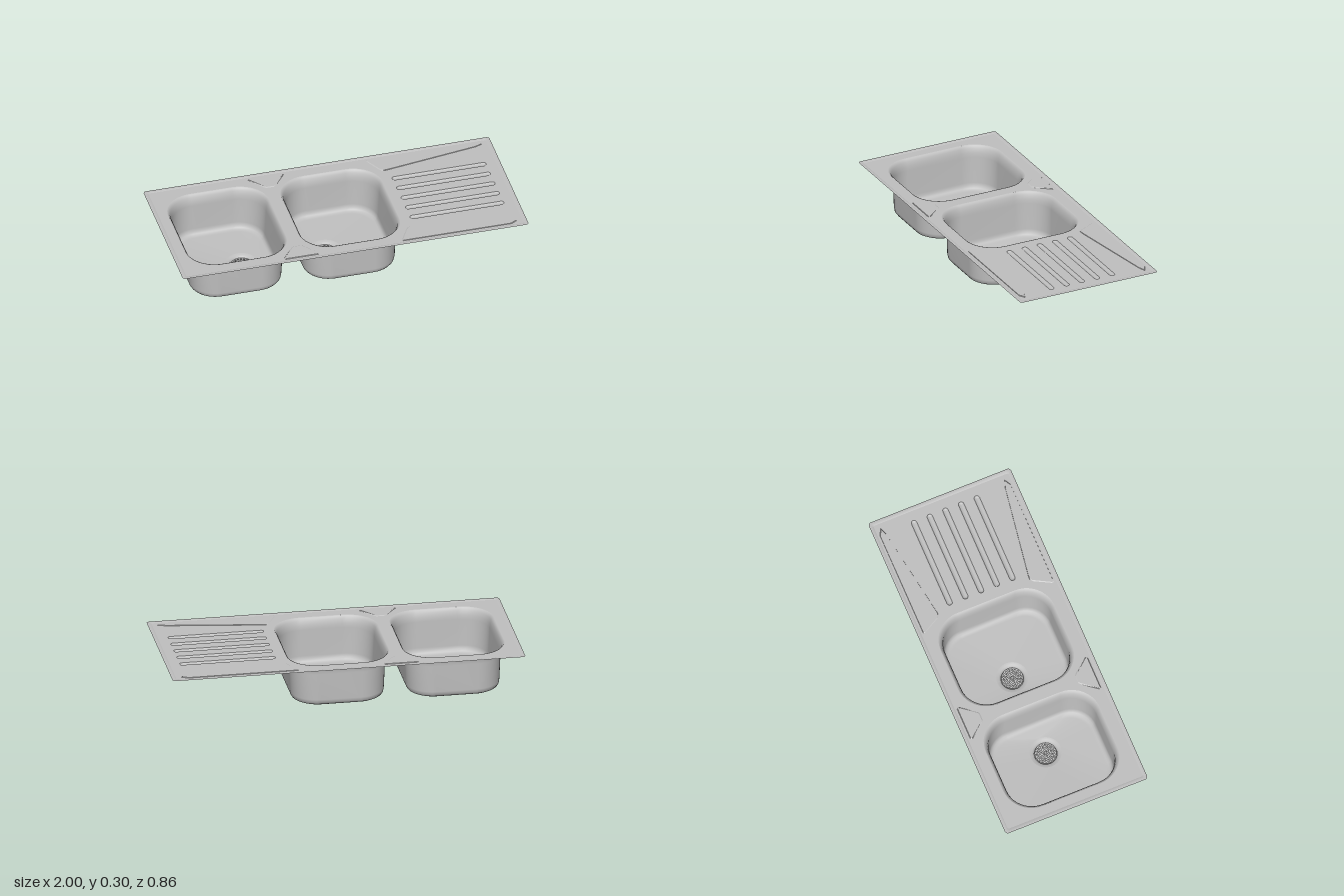
import * as THREE from 'three';

const steel = new THREE.MeshStandardMaterial({ name: 'stainless steel', color: 0xc0c0c0, side: THREE.DoubleSide });
const DECK = 0.297, TOP = 0.3;

// Rounded rectangle loop, counter-clockwise seen from above
function ring(cx, cz, hw, hd, r, y, steps = 10) {
  const pts = [], sx = [1, -1, -1, 1], sz = [1, 1, -1, -1];
  for (let k = 0; k < 4; k++) {
    for (let i = 0; i <= steps; i++) {
      const a = (k + i / steps) * Math.PI / 2;
      pts.push(new THREE.Vector3(
        cx + sx[k] * (hw - r) + r * Math.cos(a), y, cz - sz[k] * (hd - r) - r * Math.sin(a)));
    }
  }
  return pts;
}

// Skin joining loops of equal length, from the outside inwards
function loft(rings) {
  const n = rings[0].length, index = [];
  for (let j = 0; j < rings.length - 1; j++) {
    for (let i = 0; i < n; i++) {
      const a = j * n + i, b = j * n + (i + 1) % n;
      index.push(a, b, b + n, a, b + n, a + n);
    }
  }
  const geo = new THREE.BufferGeometry().setFromPoints(rings.flat());
  geo.setIndex(index);
  geo.computeVertexNormals();
  return geo;
}

const flat = (pts) => pts.map((p) => new THREE.Vector2(p.x, -p.z));

function sheet(pts, holes, y) {
  const shape = new THREE.Shape(flat(pts));
  shape.holes = holes.map((h) => new THREE.Path(flat(h)));
  return new THREE.ShapeGeometry(shape).rotateX(-Math.PI / 2).translate(0, y, 0);
}

export function createModel() {
  const model = new THREE.Group();
  const holes = [];
  const add = (name, geo, parent = model) => {
    const mesh = new THREE.Mesh(geo, steel);
    mesh.name = name;
    parent.add(mesh);
    return mesh;
  };

  // Bowls: half width, half depth, corner radius, height
  const profile = [
    [0.293, 0.345, 0.17, DECK], [0.286, 0.338, 0.165, 0.294], [0.278, 0.329, 0.16, 0.28],
    [0.273, 0.322, 0.155, 0.255], [0.271, 0.32, 0.153, 0.23], [0.264, 0.317, 0.15, 0.075],
    [0.261, 0.313, 0.147, 0.056], [0.254, 0.305, 0.142, 0.045], [0.244, 0.295, 0.135, 0.039],
    [0.228, 0.28, 0.125, 0.037],
  ];
  // Drain: radius, height
  const drainProfile = [[0.09, 0.027], [0.075, 0.024], [0.067, 0.018], [0.064, 0.01], [0.064, 0]];

  for (const [name, cx, dx] of [['rightBowl', -0.63, -0.545], ['leftBowl', 0.025, -0.062]]) {
    const bowl = new THREE.Group();
    bowl.name = name;
    model.add(bowl);
    const rings = profile.map(([w, d, r, y]) => ring(cx, 0, w, d, r, y));
    holes.push(rings[0]);
    const drain = drainProfile.map(([r, y]) => ring(dx, 0, r, r, r, y));
    add('basin', loft([...rings, drain[0]]), bowl);
    add('drainCup', loft(drain), bowl);
    add('drainBase', new THREE.CircleGeometry(0.064, 40).rotateX(-Math.PI / 2).translate(dx, 0, 0), bowl);

    // Perforated strainer with a centre screw
    const disc = new THREE.Shape().absarc(0, 0, 0.062, 0, Math.PI * 2);
    for (const [count, radius] of [[6, 0.018], [12, 0.034], [18, 0.049]]) {
      for (let i = 0; i < count; i++) {
        const a = i / count * Math.PI * 2;
        disc.holes.push(new THREE.Path().absarc(
          radius * Math.cos(a), radius * Math.sin(a), 0.005, 0, Math.PI * 2, true));
      }
    }
    const strainer = new THREE.ExtrudeGeometry(disc, { depth: 0.003, bevelEnabled: false, curveSegments: 8 });
    add('strainer', strainer.rotateX(-Math.PI / 2).translate(dx, 0.011, 0), bowl);
    add('strainerScrew', new THREE.CylinderGeometry(0.007, 0.009, 0.004, 16).translate(dx, 0.016, 0), bowl);
  }

  // Sunken drainer grooves
  for (let i = -2; i <= 2; i++) {
    const z = i * 0.095, cx = 0.648;
    const rings = [[0.272, 0.016, 0.016, DECK], [0.269, 0.013, 0.013, 0.294],
      [0.264, 0.008, 0.008, 0.291], [0.256, 0, 0, 0.29]]
      .map(([w, d, r, y]) => ring(cx, z, w, d, r, y, 5));
    holes.push(rings[0]);
    add('drainerGroove', loft(rings));
  }

  // Slightly raised panels, mirrored front and back
  const panels = {
    middlePanel: [[-0.40, -0.395], [-0.405, -0.385], [-0.335, -0.295], [-0.325, -0.288],
      [-0.28, -0.288], [-0.27, -0.295], [-0.2, -0.385], [-0.205, -0.395]],
    drainerPanel: [[0.28, -0.395], [0.278, -0.385], [0.33, -0.288], [0.345, -0.276], [0.365, -0.276],
      [0.905, -0.36], [0.945, -0.375], [0.91, -0.395]],
  };
  for (const [name, outline] of Object.entries(panels)) {
    for (const side of [1, -1]) {
      const base = outline.map(([x, z]) => new THREE.Vector3(x, DECK, z * side));
      if (side < 0) base.reverse();
      const centre = base.reduce((s, p) => s.add(p), new THREE.Vector3()).divideScalar(base.length);
      const top = base.map((p) => {
        const step = centre.clone().sub(p).setLength(0.006);
        return p.clone().add(step).setY(TOP);
      });
      holes.push(base);
      const edge = loft([base, top]).toNonIndexed();
      edge.computeVertexNormals();
      const panel = new THREE.Group();
      panel.name = name;
      model.add(panel);
      add('panelEdge', edge, panel);
      add('panelTop', sheet(top, [], TOP), panel);
    }
  }

  // Raised outer rim and the deck within it
  const rim = [[1, 0.43, 0.018, 0.299], [0.996, 0.426, 0.016, TOP], [0.985, 0.416, 0.012, TOP],
    [0.975, 0.408, 0.01, DECK]].map(([w, d, r, y]) => ring(0, 0, w, d, r, y, 6));
  add('rim', loft(rim));
  add('deck', sheet(rim[3], holes, DECK));

  return model;
}
